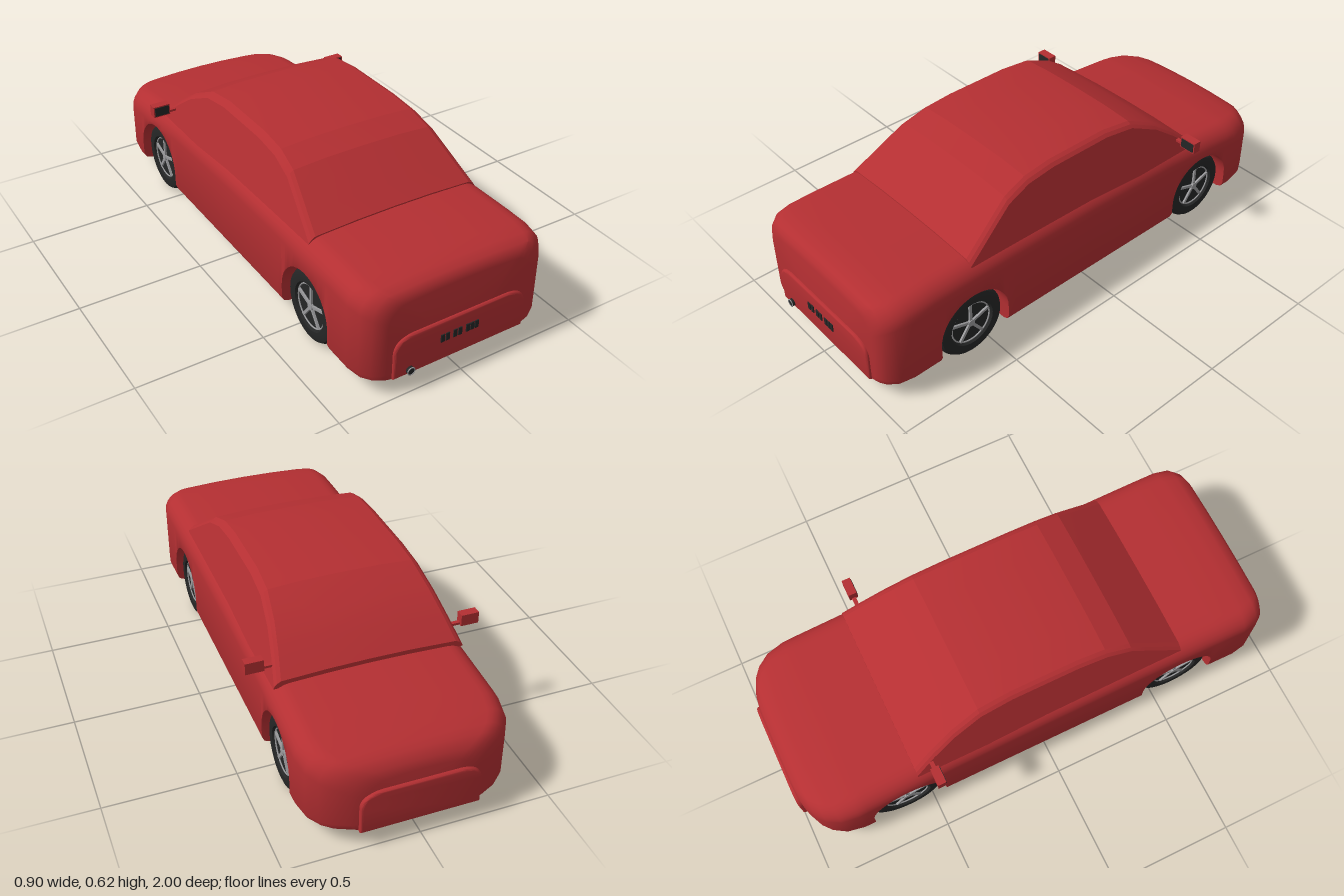
import * as THREE from 'three';
import { toCreasedNormals } from 'three/addons/utils/BufferGeometryUtils.js';

const mat = (name, color, extra = {}) => {
  const m = new THREE.MeshStandardMaterial({ color, ...extra });
  m.name = name;
  return m;
};

// Piecewise linear lookup in rows [z, a, b, ...]
function sample(rows, z) {
  let i = 1;
  while (i < rows.length - 1 && rows[i][0] < z) i++;
  const a = rows[i - 1], b = rows[i];
  const t = THREE.MathUtils.clamp((z - a[0]) / (b[0] - a[0]), 0, 1);
  return a.map((v, k) => v + (b[k] - v) * t);
}

// Closed loft: each section is { z, half }, half running from bottom centre to top centre on +x
function loft(sections, crease) {
  const pos = [], idx = [];
  let n = 0;
  for (const { z, half } of sections) {
    const ring = [...half, ...half.slice(1, -1).reverse().map(([x, y]) => [-x, y])];
    n = ring.length;
    ring.forEach(([x, y]) => pos.push(x, y, z));
  }
  const last = (sections.length - 1) * n;
  for (let s = 0; s < last; s += n)
    for (let i = 0; i < n; i++) {
      const j = (i + 1) % n;
      idx.push(s + i, s + j, s + n + i, s + j, s + n + j, s + n + i);
    }
  for (let i = 1; i < n - 1; i++) idx.push(0, i + 1, i, last, last + i, last + i + 1);
  const g = new THREE.BufferGeometry();
  g.setAttribute('position', new THREE.Float32BufferAttribute(pos, 3));
  g.setIndex(idx);
  return toCreasedNormals(g, crease);
}

const FLOOR = 0.065, ARCH_R = 0.155, AXLE_Y = 0.143, AXLES = [-0.6, 0.59];

// Body plan and top line: z, half width, top height
const BODY = [
  [-0.987, 0.2, 0.28], [-0.977, 0.25, 0.312], [-0.95, 0.308, 0.338], [-0.92, 0.343, 0.35],
  [-0.87, 0.374, 0.362], [-0.8, 0.387, 0.374], [-0.76, 0.387, 0.38], [-0.42, 0.383, 0.412],
  [0, 0.383, 0.429], [0.4, 0.383, 0.433], [0.76, 0.386, 0.433], [0.86, 0.387, 0.43],
  [0.92, 0.376, 0.426], [0.955, 0.35, 0.414], [0.97, 0.325, 0.397], [0.976, 0.3, 0.375],
];

function bodySection(z, yb, inArch) {
  const [, w, top] = sample(BODY, z);
  const rb = inArch ? 0.004 : 0.03, r = 0.08, edge = top - 0.008;
  const half = [[0, yb], [w - rb, yb], [w - rb * 0.3, yb + rb * 0.3], [w, yb + rb]];
  for (let i = 0; i <= 6; i++) {
    const a = (i / 6) * Math.PI / 2;
    half.push([w - r + r * Math.cos(a), edge - r + r * Math.sin(a)]);
  }
  half.push([(w - r) * 0.5, top - 0.002], [0, top]);
  return { z, half };
}

function bodyGeometry() {
  const sections = BODY.map(([z]) => bodySection(z, FLOOR, false));
  // Wheel arches cut into the lower edge
  for (const c of AXLES) {
    sections.push(bodySection(c - ARCH_R, FLOOR, false));
    for (let i = 0; i <= 20; i++) {
      const a = Math.PI * (1 - i / 20);
      sections.push(bodySection(c + ARCH_R * Math.cos(a), AXLE_Y + ARCH_R * Math.sin(a), true));
    }
    sections.push(bodySection(c + ARCH_R, FLOOR, false));
  }
  sections.sort((p, q) => p.z - q.z);
  return loft(sections, 0.6);
}

// Cabin roof line: z, height
const ROOF = [
  [-0.54, 0.418], [-0.46, 0.487], [-0.37, 0.552], [-0.25, 0.608], [-0.12, 0.625], [0.15, 0.625],
  [0.27, 0.613], [0.37, 0.58], [0.43, 0.54], [0.51, 0.485], [0.58, 0.438],
];

function cabinGeometry() {
  const width = y => 0.354 - 0.28 * (y - 0.42);
  return loft(ROOF.map(([z, t]) => ({
    z,
    half: [[0, 0.38], [width(0.38), 0.38], [width(t - 0.03), t - 0.03], [width(t) - 0.003, t - 0.018],
      [width(t) - 0.018, t - 0.01], [0.16, t - 0.002], [0, t]],
  })), 0.2);
}

// Raised bumper panel with rounded upper corners
function bumperGeometry(w, depth) {
  const s = new THREE.Shape();
  s.moveTo(-w, 0.075);
  s.lineTo(w, 0.075);
  s.lineTo(w, 0.17);
  s.quadraticCurveTo(w, 0.222, w - 0.07, 0.227);
  s.lineTo(-w + 0.07, 0.227);
  s.quadraticCurveTo(-w, 0.222, -w, 0.17);
  const g = new THREE.ExtrudeGeometry(s, {
    depth, bevelThickness: 0.008, bevelSize: 0.008, bevelSegments: 3, curveSegments: 8,
  });
  return toCreasedNormals(g, 0.6);
}

export function createModel() {
  const car = new THREE.Group();
  car.name = 'car';
  const red = mat('red paint', 0xb42f32);
  const black = mat('black underbody', 0x151515);
  const dark = mat('dark rubber and glass', 0x252626);
  const metal = mat('grey metal', 0x9a9a9c);

  const add = (name, geo, material, x = 0, y = 0, z = 0, parent = car) => {
    const m = new THREE.Mesh(geo, material);
    m.name = name;
    m.position.set(x, y, z);
    parent.add(m);
    return m;
  };
  const box = (w, h, d) => new THREE.BoxGeometry(w, h, d);

  add('body', bodyGeometry(), red);
  add('cabin', cabinGeometry(), red);
  add('trunkEndBumper', bumperGeometry(0.27, 0.03), red, 0, 0, 0.949);
  add('hoodEndBumper', bumperGeometry(0.215, 0.03), red, 0, 0, -0.992);

  // Black boxes between the wheels
  for (const z of AXLES) add('wheelWell', box(0.54, 0.235, ARCH_R * 2 + 0.004), black, 0, 0.18, z);

  // Dark slots on the trunk end
  for (const x of [-0.081, -0.06, -0.028, -0.007, 0.026, 0.045, 0.064])
    add('slot', box(0.015, 0.031, 0.006), dark, x, 0.165, 0.988);

  // Exhaust
  const pipe = new THREE.CylinderGeometry(0.015, 0.015, 0.05, 24).rotateX(Math.PI / 2);
  add('exhaustPipe', pipe, dark, -0.213, 0.087, 0.973);
  add('exhaustRim', new THREE.TorusGeometry(0.0145, 0.002, 8, 28), metal, -0.213, 0.087, 0.998);

  // Side mirrors
  for (const side of [-1, 1]) {
    const mirror = new THREE.Group();
    mirror.name = side > 0 ? 'leftMirror' : 'rightMirror';
    mirror.position.set(side * 0.415, 0.453, -0.474);
    car.add(mirror);
    add('mirrorHousing', box(0.07, 0.046, 0.034), red, 0, 0, 0, mirror);
    add('mirrorGlass', box(0.06, 0.037, 0.004), dark, 0, 0, 0.017, mirror);
    add('mirrorArm', box(0.07, 0.009, 0.016), red, -side * 0.06, -0.016, 0, mirror);
  }

  // Wheels: turned tyre, rim ring and five spokes, outer face towards +x
  const profile = [[0.001, -0.045], [0.12, -0.045], [0.134, -0.04], [0.142, -0.027], [0.143, 0],
    [0.142, 0.027], [0.134, 0.04], [0.12, 0.045], [0.095, 0.044], [0.09, 0.03], [0.001, 0.03]];
  const tyreGeo = toCreasedNormals(
    new THREE.LatheGeometry(profile.map(p => new THREE.Vector2(...p)), 48).rotateZ(-Math.PI / 2), 0.6);
  const ringGeo = new THREE.TorusGeometry(0.086, 0.003, 8, 48).rotateY(Math.PI / 2);
  const hubGeo = new THREE.CylinderGeometry(0.014, 0.014, 0.014, 20).rotateZ(-Math.PI / 2);
  const spokeGeo = box(0.01, 0.08, 0.011).translate(0, 0.046, 0);
  for (const z of AXLES)
    for (const side of [-1, 1]) {
      const wheel = new THREE.Group();
      wheel.name = 'wheel';
      wheel.position.set(side * 0.32, AXLE_Y, z);
      if (side < 0) wheel.rotation.y = Math.PI;
      car.add(wheel);
      add('tyre', tyreGeo, dark, 0, 0, 0, wheel);
      add('rimRing', ringGeo, metal, 0.034, 0, 0, wheel);
      add('hub', hubGeo, metal, 0.034, 0, 0, wheel);
      for (let i = 0; i < 5; i++)
        add('spoke', spokeGeo, metal, 0.033, 0, 0, wheel).rotation.x = i * Math.PI * 2 / 5;
    }
  return car;
}
